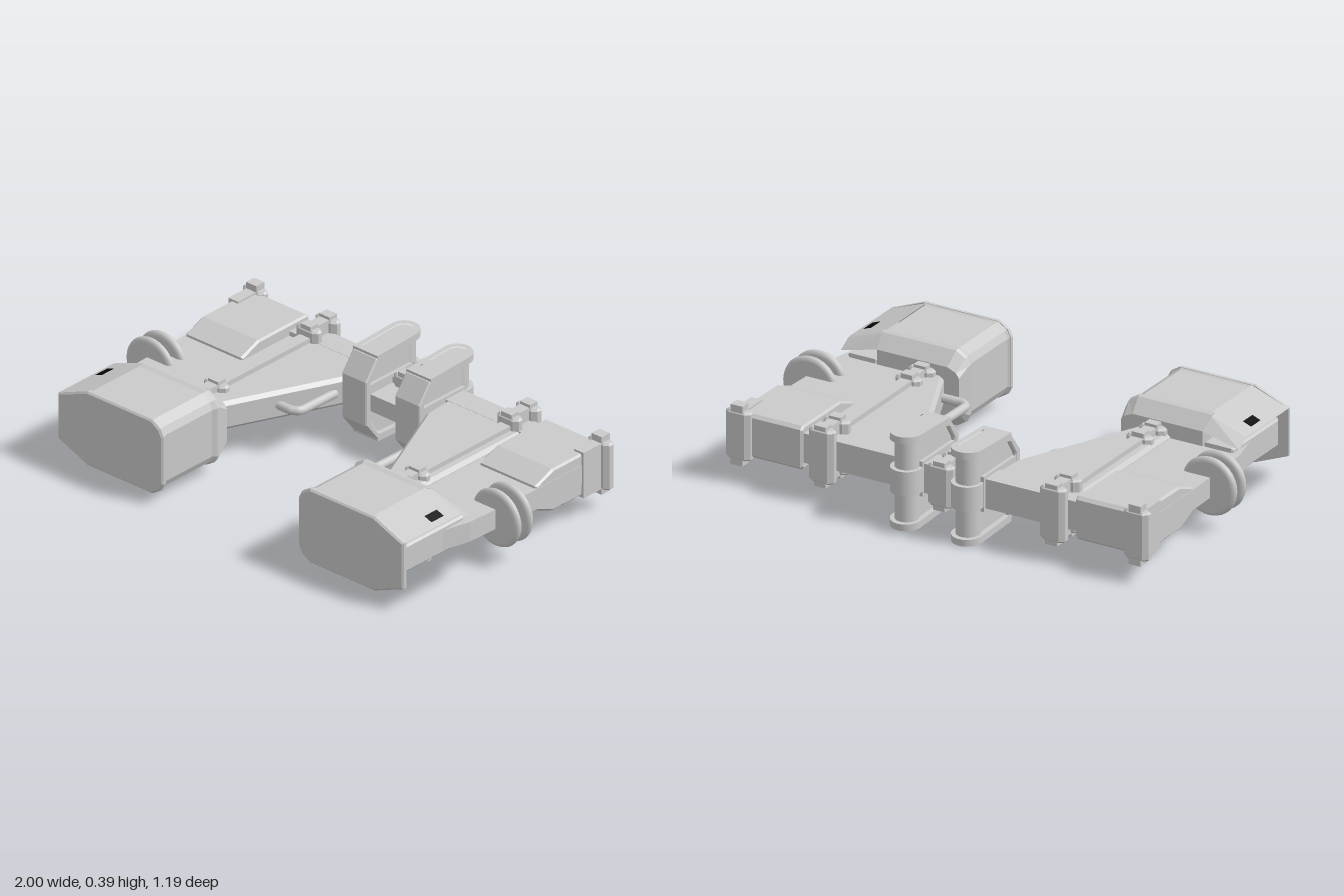
import * as THREE from 'three';

const MID = 0.197;  // height of the horizontal symmetry plane
const HALF = 0.158; // half height of a pod
const grey = new THREE.MeshStandardMaterial({ color: 0xcacaca, flatShading: true });
grey.name = 'hull grey';
const smooth = new THREE.MeshStandardMaterial({ color: 0xcacaca });
smooth.name = 'hull grey';
const black = new THREE.MeshStandardMaterial({ color: 0x080808 });
black.name = 'black';

export function createModel() {
  const root = new THREE.Group();
  root.name = 'twinPodFrame';

  const add = (name, geo, x = 0, y = 0, z = 0, mat = grey) => {
    const m = new THREE.Mesh(geo, mat);
    m.name = name;
    m.position.set(x, y, z);
    root.add(m);
    return m;
  };
  const box = (name, x0, x1, y0, y1, z0, z1, mat = grey) =>
    add(name, new THREE.BoxGeometry(Math.abs(x1 - x0), y1 - y0, z1 - z0),
      (x0 + x1) / 2, (y0 + y1) / 2, (z0 + z1) / 2, mat);
  const toShape = pts => new THREE.Shape(pts.map(p => new THREE.Vector2(p[0], p[1])));

  // Extrusion of total thickness t, centred on its plane, chamfered by b
  const slab = (shape, t, b = 0) => new THREE.ExtrudeGeometry(shape, {
    depth: t - 2 * b, bevelEnabled: b > 0, bevelSize: b, bevelThickness: b,
    bevelOffset: -b, bevelSegments: 1, curveSegments: 12,
  }).translate(0, 0, -t / 2 + b);
  const plan = (shape, t, b) => slab(shape, t, b).rotateX(Math.PI / 2);  // (x, z) outline
  const side = (shape, t, b) => slab(shape, t, b).rotateY(-Math.PI / 2); // (z, y) outline

  // Loft of one outline through [z, x inset, y inset] sections; two points give an open skin
  const loft = (pts, sections, flip) => {
    const xs = pts.map(p => p[0]);
    const x0 = Math.min(...xs), x1 = Math.max(...xs), cx = (x0 + x1) / 2;
    const rings = sections.map(([z, dx, dy]) => pts.map(([x, y]) => [
      cx + (x - cx) * (1 - 2 * dx / (x1 - x0)), MID + (y - MID) * (1 - dy / HALF), z]));
    const out = [], n = pts.length, sides = n > 2 ? n : 1;
    const tri = (a, b, c) => (flip ? out.push(...a, ...c, ...b) : out.push(...a, ...b, ...c));
    for (let r = 0; r + 1 < rings.length; r++) {
      for (let i = 0; i < sides; i++) {
        const j = (i + 1) % n, A = rings[r], B = rings[r + 1];
        tri(A[i], A[j], B[j]);
        tri(A[i], B[j], B[i]);
      }
    }
    const first = rings[0], last = rings[rings.length - 1];
    for (let i = 1; i + 1 < n; i++) {
      tri(first[0], first[i + 1], first[i]);
      tri(last[0], last[i], last[i + 1]);
    }
    const g = new THREE.BufferGeometry();
    g.setAttribute('position', new THREE.Float32BufferAttribute(out, 3));
    g.computeVertexNormals();
    return g;
  };

  // Clamp: a strap around a beam with two wider chamfered blocks
  const lug = toShape([[-0.055, -0.01], [-0.035, -0.025], [0.035, -0.025], [0.055, -0.01],
    [0.055, 0.01], [0.035, 0.025], [-0.035, 0.025], [-0.055, 0.01]]);
  const clamp = (name, x, za, zb, h) => {
    box(name + 'Strap', x - 0.024, x + 0.024, MID - h + 0.012, MID + h - 0.012, za - 0.015, zb + 0.015);
    for (const z of [za, zb]) {
      add(name + 'Block', plan(lug, 2 * h - 0.03, 0.008), x, MID, z);
      box(name + 'Cap', x - 0.026, x + 0.026, MID - h, MID + h, z - 0.021, z + 0.021);
    }
  };

  // Round-edged wheel profile, from axis to rim to axis
  const wheel = new THREE.LatheGeometry([[0, -0.016], [0.1, -0.016], [0.11, -0.013], [0.117, -0.008], [0.12, 0],
    [0.117, 0.008], [0.11, 0.013], [0.1, 0.016], [0, 0.016]].map(p => new THREE.Vector2(p[0], p[1])), 40)
    .rotateX(Math.PI / 2);

  // Rear crossbar and the web between the hooks
  const bar = toShape([[-0.5, 0.137], [-0.4, 0.137], [-0.4, 0.258], [-0.5, 0.258]]);
  add('crossbar', side(bar, 1.25, 0.008));
  box('centreWeb', -0.2, 0.2, 0.16, 0.232, -0.42, -0.275);
  clamp('centreClamp', -0.015, -0.515, -0.41, 0.1);

  for (const s of [1, -1]) {
    const X = pts => pts.map(([x, y]) => [x * s, y]);

    // Thick inner arm, thinner outer plate and the beam end inside the pod
    add('arm', plan(toShape(X([[0.19, -0.44], [0.2, -0.28], [0.425, 0.22], [0.46, 0.27], [0.575, 0.27],
      [0.575, -0.44]])), 0.12, 0.015), 0, MID, 0);
    add('armPlate', plan(toShape(X([[0.55, -0.44], [0.55, 0.3], [0.72, 0.34], [0.85, 0.34], [0.88, 0.22],
      [0.895, -0.13], [0.895, -0.44]])), 0.084), 0, MID, 0);
    add('armTip', side(toShape([[0.22, 0.142], [0.555, 0.142], [0.555, 0.257], [0.22, 0.257]]), 0.13, 0.008),
      s * 0.785, 0, 0);

    // Rods along the upper and lower arm faces, with their clamps
    for (const y of [0.265, 0.129]) box('armRod', s * 0.485, s * 0.535, y - 0.012, y + 0.012, -0.41, 0.22);
    clamp('rearClamp', s * 0.51, -0.515, -0.41, 0.125);
    clamp('frontClamp', s * 0.51, 0.108, 0.203, 0.1);

    // Wedge-nosed rear nacelle
    add('rearNacelle', side(toShape([[-0.135, 0.145], [-0.135, 0.249], [-0.23, 0.286], [-0.5, 0.287],
      [-0.515, 0.275], [-0.515, 0.119], [-0.5, 0.107], [-0.23, 0.108]]), 0.29, 0.008), s * 0.748, 0, 0);

    // End clamp on the nacelle
    box('endClampStrap', s * 0.855, s * 0.903, 0.1, 0.295, -0.53, -0.39);
    add('endClampBlock', plan(lug, 0.2, 0.008), s * 0.878, MID, -0.513);
    box('endClampCap', s * 0.852, s * 0.904, 0.075, 0.322, -0.535, -0.49);

    // Pair of wheels on a hub
    for (const z of [0.004, 0.069]) add('wheel', wheel, s * 0.88, MID, z, smooth);
    add('wheelHub', new THREE.CylinderGeometry(0.04, 0.04, 0.065, 24).rotateX(Math.PI / 2),
      s * 0.88, MID, 0.036, smooth);

    // Front pod: banded body, full front plate and open outer bay
    const body = X([[0.73, 0.355], [0.4, 0.355], [0.36, 0.33], [0.345, 0.3], [0.345, 0.094],
      [0.36, 0.064], [0.4, 0.039], [0.73, 0.039]]);
    add('podBody', loft(body, [[0.218, 0.012, 0.055], [0.27, 0.002, 0.004], [0.285, 0, 0], [0.305, 0.01, 0.006],
      [0.565, 0.01, 0.006], [0.578, 0, 0]], s < 0));
    const face = X([[0.878, 0.099], [0.878, 0.295], [0.73, 0.355], [0.4, 0.355], [0.36, 0.33], [0.345, 0.3],
      [0.345, 0.094], [0.36, 0.064], [0.4, 0.039], [0.73, 0.039]]);
    add('podFrontPlate', loft(face, [[0.574, 0, 0], [0.588, 0, 0], [0.595, 0.007, 0.007]], s < 0));
    box('podBayPanel', s * 0.715, s * 0.724, 0.065, 0.33, 0.28, 0.576, black);

    // Sloped outer skins above and below the bay, each with a black marker
    for (const v of [1, -1]) {
      const Y = pts => X(pts).map(([x, y]) => [x, MID + v * y]);
      add('podFlap', loft(Y([[0.878, 0.098], [0.718, HALF]]),
        [[0.218, 0, 0.055], [0.27, 0, 0.004], [0.285, 0, 0], [0.576, 0, 0]], s * v < 0));
      add('podMarker', loft(Y([[0.856, 0.1085], [0.82, 0.122]]), [[0.341, 0, 0], [0.41, 0, 0]], s * v < 0),
        0, 0, 0, black);
    }

    // C-shaped hook bracket with a filled web
    const hx = s * 0.135 - 0.003;
    add('hookWall', side(toShape([[-0.33, 0.372], [-0.31, 0.368], [-0.25, 0.29], [-0.25, 0.104],
      [-0.31, 0.026], [-0.33, 0.022], [-0.33, 0.05], [-0.318, 0.055], [-0.28, 0.115],
      [-0.28, 0.279], [-0.318, 0.339], [-0.33, 0.344]]), 0.125, 0.005), hx, 0, 0);
    add('hookWeb', side(toShape([[-0.27, 0.11], [-0.27, 0.284], [-0.32, 0.35], [-0.52, 0.355],
      [-0.52, 0.039], [-0.32, 0.044]]), 0.09), hx, 0, 0);
    const u = (r, front, Type) => {
      const p = new Type();
      p.moveTo(-r, front);
      p.lineTo(r, front);
      p.lineTo(r, -0.53);
      p.absarc(0, -0.53, r, 0, Math.PI, true);
      p.lineTo(-r, front);
      return p;
    };
    for (const v of [1, -1]) {
      const rim = u(0.0625, -0.315, THREE.Shape);
      rim.holes.push(u(0.04, -0.335, THREE.Path));
      const tilt = v * 0.04, y = MID + v * 0.156;
      add('hookRim', plan(rim, 0.028), hx, y, 0).rotation.x = tilt;
      add('hookPlate', plan(u(0.045, -0.32, THREE.Shape), 0.012), hx, y, 0).rotation.x = tilt;
    }

    // Vertical pin with a collar at the back of each hook
    add('hookPin', new THREE.CylinderGeometry(0.048, 0.048, 0.34, 28), hx, MID, -0.525, smooth);
    add('hookCollar', new THREE.CylinderGeometry(0.062, 0.062, 0.1, 28), hx, MID, -0.53, smooth);
    box('hookSocket', hx - 0.06, hx + 0.06, 0.125, 0.269, -0.51, -0.27);
  }

  // Bent pipes beside the arms, at different lengths on each side
  const pipe = (name, pts) => add(name, new THREE.TubeGeometry(new THREE.CatmullRomCurve3(
    pts.map(([x, z]) => new THREE.Vector3(x, MID, z)), false, 'catmullrom', 0.2), 40, 0.018, 10), 0, 0, 0, smooth);
  pipe('rightPipe', [[-0.225, -0.24], [-0.228, -0.07], [-0.235, -0.045], [-0.262, -0.03], [-0.33, -0.03]]);
  pipe('leftPipe', [[0.285, -0.12], [0.28, 0.125], [0.288, 0.15], [0.315, 0.163], [0.42, 0.163]]);

  return root;
}
